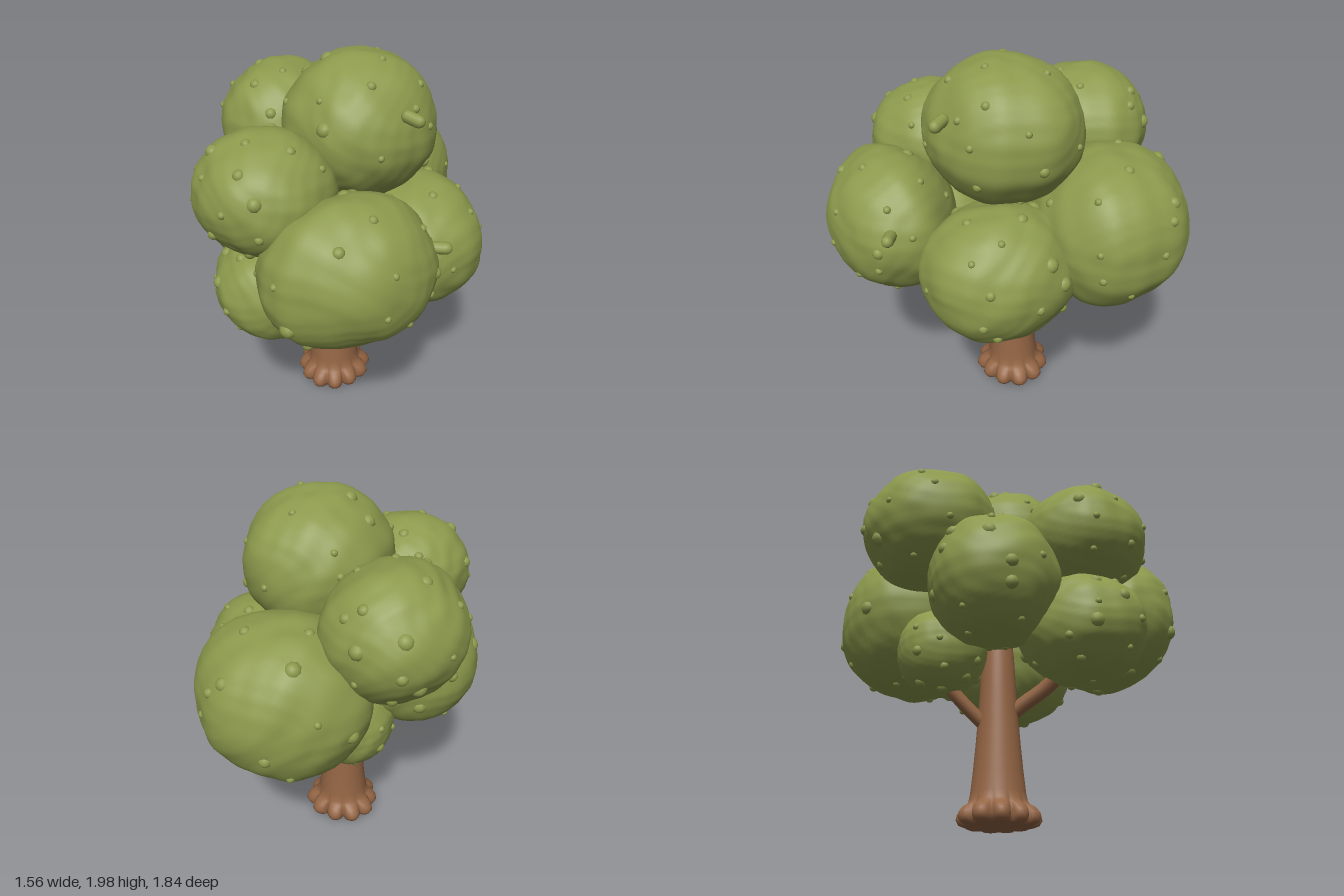
import * as THREE from 'three';
import { mergeVertices, mergeGeometries } from 'three/addons/utils/BufferGeometryUtils.js';

const V = (x, y, z) => new THREE.Vector3(x, y, z);
const UP = V(0, 1, 0);

// Leaf clumps: name, centre, radii, turn about y
const CLUMPS = [
  ['crownTop', V(0.13, 1.625, -0.015), V(0.37, 0.365, 0.4), 0],
  ['crownLeft', V(-0.43, 1.49, -0.215), V(0.335, 0.325, 0.36), 0],
  ['crownFront', V(-0.09, 1.435, 0.515), V(0.333, 0.295, 0.327), 0],
  ['crownBack', V(-0.02, 1.15, -0.525), V(0.435, 0.405, 0.4), 0.3],
  ['crownRight', V(0.41, 1.01, -0.12), V(0.395, 0.35, 0.345), -Math.PI / 4],
  ['crownFrontRight', V(0.345, 1.14, 0.53), V(0.42, 0.365, 0.325), Math.PI / 4],
  ['crownSide', V(-0.36, 1.15, 0.12), V(0.335, 0.34, 0.34), 0],
  ['crownLowFront', V(-0.065, 0.95, 0.48), V(0.3, 0.28, 0.33), 0],
  ['crownLowBack', V(-0.2, 0.89, -0.235), V(0.235, 0.23, 0.235), 0],
];

function seeded(seed) {
  return () => {
    seed = (seed * 16807) % 2147483647;
    return seed / 2147483647;
  };
}

// Lumpy surface point of a clump in direction d
function surfacePoint(d, radii, phase) {
  const s = Math.sin, p = phase * 2.3;
  const lump = 0.016 * s(5 * d.x + p) * s(4 * d.y + 2 * p) + 0.014 * s(6 * d.z + 3 * d.x - p)
    + 0.012 * s(9 * d.x + 5 * d.y + 2 * s(3 * d.z + p)) * s(8 * d.z - 4 * d.y + p)
    + 0.007 * s(15 * d.y + 7 * d.z + 3 * s(4 * d.x)) * s(13 * d.x - 9 * d.z + 3 * s(5 * d.y + p));
  return d.clone().multiply(radii).multiplyScalar(1 + lump);
}

function clumpGeometry(radii, phase) {
  let geo = new THREE.IcosahedronGeometry(1, 16);
  geo.deleteAttribute('uv');
  geo.deleteAttribute('normal');
  geo = mergeVertices(geo, 1e-4);
  const pos = geo.attributes.position;
  const d = V(0, 0, 0);
  for (let i = 0; i < pos.count; i++) {
    const p = surfacePoint(d.fromBufferAttribute(pos, i).normalize(), radii, phase);
    pos.setXYZ(i, p.x, p.y, p.z);
  }
  geo.computeVertexNormals();
  return geo;
}

// A blunt leaf knob pointing out along dir
function knobGeometry(at, dir, radius, length) {
  const geo = new THREE.CapsuleGeometry(radius, length, 4, 10);
  const turn = new THREE.Quaternion().setFromUnitVectors(UP, dir);
  return geo.applyQuaternion(turn).translate(at.x, at.y, at.z);
}

// Is a point of the crown inside this clump?
const inside = (point, [, centre, radii, yaw]) =>
  point.clone().sub(centre).applyAxisAngle(UP, -yaw).divide(radii).length() < 1;

// Knobs spread over a clump, leaving out those hidden in neighbours
function clumpKnobs(index) {
  const [, centre, radii, yaw] = CLUMPS[index];
  const rand = seeded(97 + index * 1313);
  const knobs = [], count = 30;
  for (let i = 0; i < count; i++) {
    const y = 1 - 2 * (i + 0.5) / count + (rand() - 0.5) * 0.06;
    const a = i * 2.39996 + index + (rand() - 0.5) * 0.9;
    const h = Math.sqrt(Math.max(0, 1 - y * y));
    const dir = V(h * Math.cos(a), y, h * Math.sin(a)).normalize();
    const radius = 0.018 + 0.026 * rand() ** 2;
    const tilt = V(rand() - 0.5, rand() - 0.5, rand() - 0.5);
    const at = surfacePoint(dir, radii, index);
    const world = at.clone().applyAxisAngle(UP, yaw).add(centre);
    if (CLUMPS.some((other, j) => j !== index && inside(world, other))) continue;
    at.addScaledVector(dir, -radius * 0.8);
    knobs.push(knobGeometry(at, dir.clone().add(tilt).normalize(), radius, 0.02));
  }
  return mergeGeometries(knobs);
}

// Trunk turned from a profile, its foot pinched into rounded root toes
function trunkGeometry() {
  const profile = [[0, 0.03], [0.1, 0.025], [0.175, 0.012], [0.2, 0.022], [0.213, 0.045], [0.208, 0.07],
    [0.188, 0.095], [0.163, 0.11], [0.147, 0.13], [0.138, 0.17], [0.126, 0.28], [0.114, 0.42],
    [0.104, 0.56], [0.096, 0.7], [0.085, 0.9], [0.06, 1.15], [0, 1.2]];
  const geo = new THREE.LatheGeometry(profile.map(([r, y]) => new THREE.Vector2(r, y)), 132);
  const pos = geo.attributes.position;
  for (let i = 0; i < pos.count; i++) {
    const x = pos.getX(i), y = pos.getY(i), z = pos.getZ(i);
    const a = Math.atan2(x, z);
    const fade = 1 - THREE.MathUtils.smoothstep(y, 0.06, 0.15);
    const crease = 1 - Math.sqrt(Math.abs(Math.cos(5.5 * a + 0.4 * Math.sin(a))));
    const k = 1 + fade * (0.03 * Math.sin(3 * a + 1) - 0.28 * crease);
    pos.setXYZ(i, x * k, y, z * k);
  }
  geo.computeVertexNormals();
  return geo;
}

export function createModel() {
  const leaf = new THREE.MeshStandardMaterial({ color: 0x8c994c });
  leaf.name = 'leaf green';
  const bark = new THREE.MeshStandardMaterial({ color: 0x946544 });
  bark.name = 'bark brown';

  const tree = new THREE.Group();
  tree.name = 'tree';
  const add = (name, geo, mat, at = V(0, 0, 0), yaw = 0) => {
    const mesh = new THREE.Mesh(geo, mat);
    mesh.name = name;
    mesh.position.copy(at);
    mesh.rotation.y = yaw;
    tree.add(mesh);
  };

  add('trunk', trunkGeometry(), bark, V(-0.008, 0, 0));

  // Branches reaching into the lower clumps
  const branch = (name, points, radius) => add(name,
    new THREE.TubeGeometry(new THREE.CatmullRomCurve3(points), 12, radius, 12), bark);
  branch('frontBranch', [V(0.01, 0.53, 0), V(0.015, 0.62, 0.12), V(0.01, 0.7, 0.26), V(-0.02, 0.81, 0.4)], 0.039);
  branch('backBranch', [V(-0.04, 0.5, -0.04), V(-0.1, 0.58, -0.11), V(-0.17, 0.69, -0.19), V(-0.2, 0.8, -0.22)], 0.035);

  // Crown of leaf clumps
  CLUMPS.forEach(([name, centre, radii, yaw], i) => {
    add(name, clumpGeometry(radii, i), leaf, centre, yaw);
    add(name + 'Knobs', clumpKnobs(i), leaf, centre, yaw);
  });

  // Two longer twigs of leaf
  add('topTwig', knobGeometry(V(0.47, 1.755, 0.14), V(0.95, -0.2, 0.1).normalize(), 0.03, 0.06), leaf);
  add('sideTwig', knobGeometry(V(0.69, 1.24, 0.31), V(0.95, 0.05, -0.3).normalize(), 0.03, 0.07), leaf);
  return tree;
}
